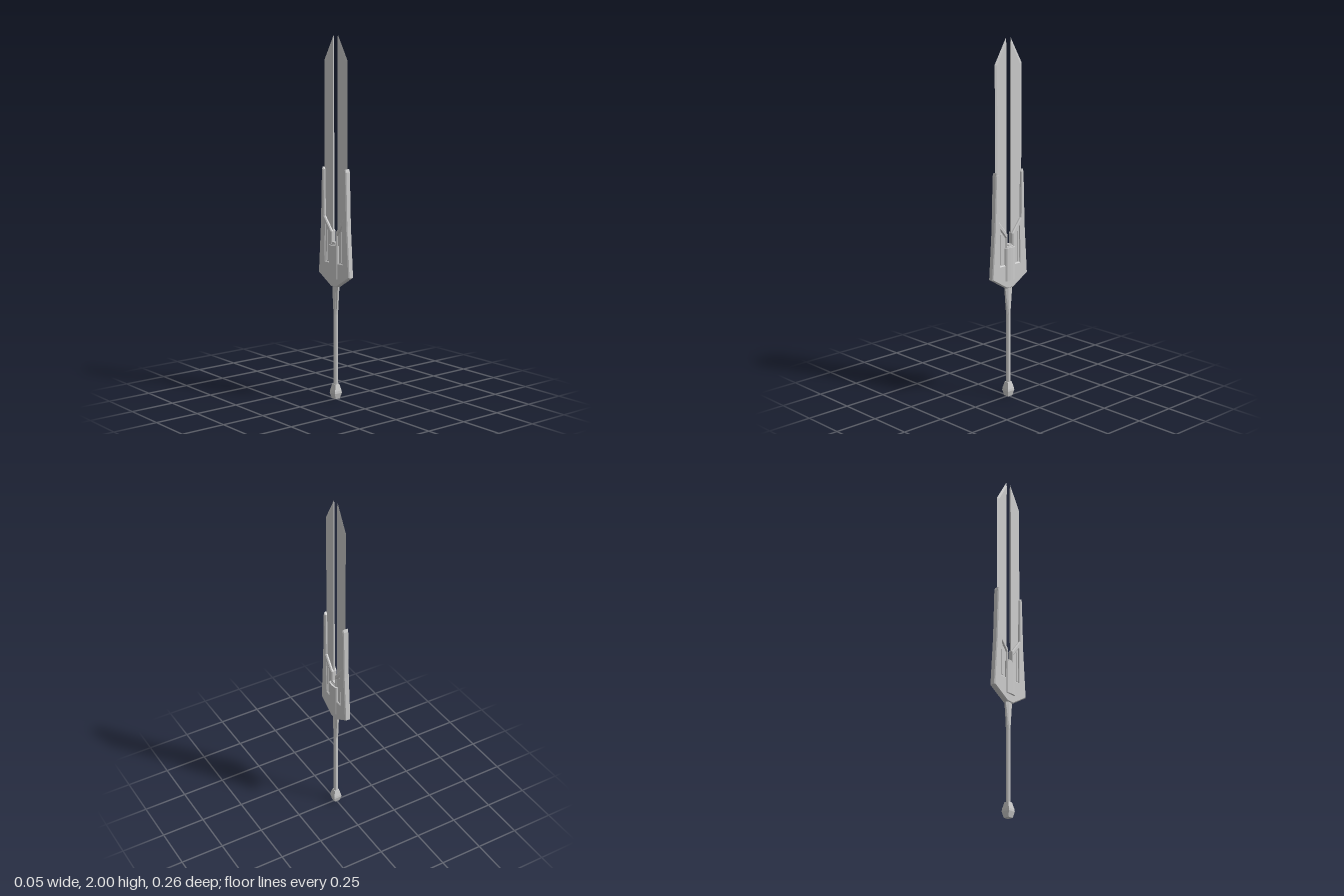
import * as THREE from 'three';
import { ConvexGeometry } from 'three/addons/geometries/ConvexGeometry.js';

const steel = new THREE.MeshStandardMaterial({ color: 0xcccccc, flatShading: true, side: THREE.DoubleSide });

const toPoints = (list) => list.map(([z, y]) => new THREE.Vector2(z, y));
const mirrored = (list) => list.map(([z, y]) => [-z, y]).reverse();

// Plate drawn in the (z, y) plane, centred on x = 0
function plate(outline, thickness, bevel = 0, holes = []) {
  const shape = new THREE.Shape(toPoints(outline));
  holes.forEach((h) => shape.holes.push(new THREE.Path(toPoints(h))));
  const depth = thickness - 2 * bevel;
  const geo = new THREE.ExtrudeGeometry(shape, {
    depth, bevelEnabled: bevel > 0, bevelThickness: bevel, bevelSize: bevel, bevelOffset: -bevel, bevelSegments: 1,
  });
  geo.translate(0, 0, -depth / 2);
  geo.rotateY(-Math.PI / 2);
  return geo;
}

// Faceted turned part from [radius, y] pairs
function turned(profile, sides) {
  const k = 1 / Math.cos(Math.PI / sides);
  return new THREE.LatheGeometry(profile.map(([r, y]) => new THREE.Vector2(r * k, y)), sides, Math.PI / sides);
}

export function createModel() {
  const model = new THREE.Group();
  const add = (name, geo) => {
    const mesh = new THREE.Mesh(geo, steel);
    mesh.name = name;
    model.add(mesh);
    return mesh;
  };

  // Twin blades: thin, flat at the gap and sharpened on the outside
  const h = 0.004, zi = 0.018;
  for (const s of [1, -1]) {
    const pts = [];
    for (const y of [0.88, 1.865]) {
      for (const x of [h, -h]) {
        pts.push(new THREE.Vector3(x, y, s * zi), new THREE.Vector3(x, y - 0.005, s * 0.084));
      }
      pts.push(new THREE.Vector3(0, y, s * 0.098));
    }
    for (const x of [h, -h]) pts.push(new THREE.Vector3(x, 1.975, s * zi));
    pts.push(new THREE.Vector3(0, 2, s * zi));
    add(s > 0 ? 'frontBlade' : 'backBlade', new ConvexGeometry(pts));
  }

  // Forked guard with a recessed pocket on each side
  const half = [[0.132, 0.70], [0.113, 0.98], [0.104, 1.27], [0.098, 1.288], [0.084, 1.275],
    [0.081, 1.02], [0.017, 0.94], [0.017, 0.875]];
  const outline = [[0.024, 0.635], ...half, ...mirrored(half), [-0.024, 0.635]];
  const pocket = [[0.03, 0.77], [0.072, 0.77], [0.072, 0.975], [0.062, 0.96], [0.03, 0.92]];
  add('guard', plate(outline, 0.034, 0.005, [pocket, mirrored(pocket)]));
  add('frontPocketFloor', plate(pocket, 0.018));
  add('backPocketFloor', plate(mirrored(pocket), 0.018));

  // Slim raised rails along the pockets
  for (const s of [1, -1]) {
    const rail = new THREE.BoxGeometry(0.026, 0.17, 0.008);
    rail.translate(0, 0.86, s * 0.062);
    add(s > 0 ? 'frontRail' : 'backRail', rail);
  }

  // Central housing: faceted prism with a small cap
  const section = [[0.027, 0.01], [0.024, 0.03], [0.017, 0.037]];
  const corners = [];
  for (const [x, z] of section) {
    for (const sx of [1, -1]) for (const sz of [1, -1]) {
      for (const y of [0.68, 0.865]) corners.push(new THREE.Vector3(sx * x, y, sz * z));
    }
  }
  add('centreHousing', new ConvexGeometry(corners));
  const cap = new THREE.BoxGeometry(0.03, 0.02, 0.028);
  cap.translate(0, 0.872, 0);
  add('housingCap', cap);

  // Grip flares front to back as it meets the guard
  const grip = turned([[0, 0.08], [0.012, 0.08], [0.012, 0.1], [0.0115, 0.3], [0.012, 0.48], [0.013, 0.62], [0.013, 0.65], [0, 0.65]], 8);
  const pos = grip.attributes.position;
  for (let i = 0; i < pos.count; i++) {
    const t = THREE.MathUtils.clamp((pos.getY(i) - 0.48) / 0.14, 0, 1);
    pos.setZ(i, pos.getZ(i) * (1 + 0.85 * t));
  }
  add('grip', grip);

  // Four-sided pommel
  add('pommel', turned([[0, 0], [0.016, 0.003], [0.024, 0.035], [0.023, 0.048], [0.014, 0.085], [0, 0.087]], 4));

  return model;
}
